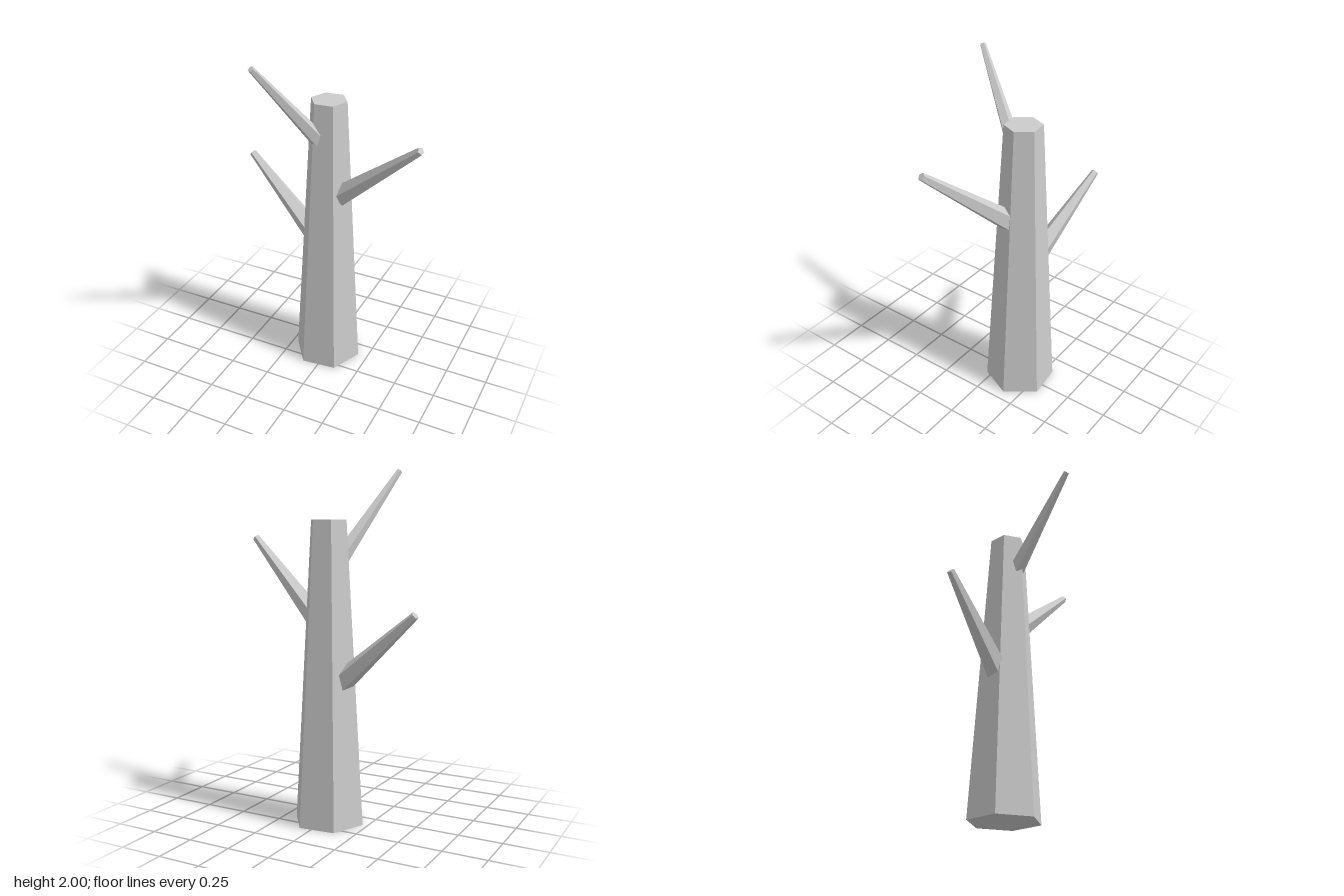
import * as THREE from 'three';

const AXIS = new THREE.Vector3(-0.015, 0, -0.133); // trunk centre line

export function createModel() {
  const group = new THREE.Group();
  group.name = 'bareTree';
  const material = new THREE.MeshStandardMaterial({ color: 0xcccccc, flatShading: true });

  // Tapered six-sided trunk
  const height = 1.71;
  const trunk = new THREE.Mesh(
    new THREE.CylinderGeometry(0.105, 0.206, height, 6, 1, false, 0.627), material);
  trunk.name = 'trunk';
  trunk.position.set(AXIS.x, height / 2, AXIS.z);
  group.add(trunk);

  // Five-sided branch; radii and heights are given at a start near the trunk axis and at the tip
  function addBranch(name, heading, start, end, startRadius, tipRadius, twist) {
    const a = THREE.MathUtils.degToRad(heading);
    const point = ([out, y]) =>
      new THREE.Vector3(AXIS.x + out * Math.cos(a), y, AXIS.z + out * Math.sin(a));
    const from = point(start), to = point(end);
    const along = to.clone().sub(from).normalize();
    const side = along.clone().cross(new THREE.Vector3(0, 1, 0)).normalize();
    const up = side.clone().cross(along);
    const branch = new THREE.Mesh(
      new THREE.CylinderGeometry(tipRadius, startRadius, from.distanceTo(to), 5, 1, false, twist), material);
    branch.name = name;
    branch.quaternion.setFromRotationMatrix(new THREE.Matrix4().makeBasis(side, along, up));
    branch.position.copy(from).add(to).multiplyScalar(0.5);
    group.add(branch);
  }

  addBranch('leftBranch', 17.3, [0.09, 1.153], [0.628, 1.605], 0.062, 0.022, 0.23);
  addBranch('rightBranch', 192.2, [0.1, 0.825], [0.583, 1.225], 0.066, 0.022, 0);
  addBranch('frontBranch', 117.2, [0.07, 1.487], [0.49, 1.988], 0.048, 0.017, 0);

  return group;
}
